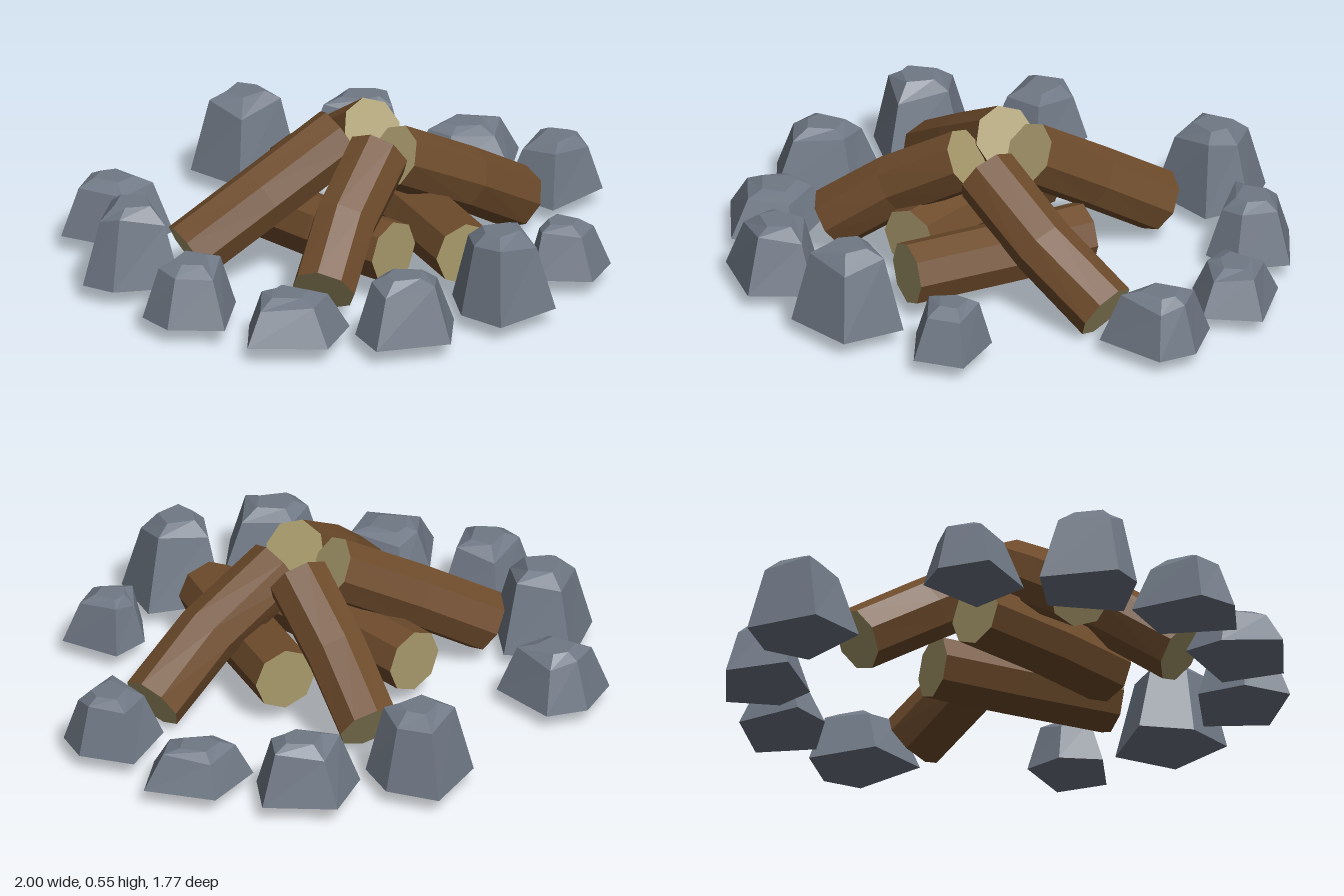
import * as THREE from 'three';

const mat = (name, color) => Object.assign(new THREE.MeshStandardMaterial({ color }), { name });
const V = (x, y, z) => new THREE.Vector3(x, y, z);

// Flat-faced geometry from triangles given as a list of points
function faceted(points) {
  const g = new THREE.BufferGeometry().setFromPoints(points);
  g.computeVertexNormals();
  return g;
}

// Skin between successive rings, each running anticlockwise about the loft direction
function loft(rings) {
  const pts = [];
  for (let i = 0; i < rings.length - 1; i++) {
    const lo = rings[i], hi = rings[i + 1], n = lo.length;
    for (let k = 0; k < n; k++) {
      const j = (k + 1) % n;
      pts.push(lo[k], lo[j], hi[j], lo[k], hi[j], hi[k]);
    }
  }
  return pts;
}

// Fan that closes a ring
function cap(ring) {
  const pts = [];
  for (let k = 1; k < ring.length - 1; k++) pts.push(ring[0], ring[k], ring[k + 1]);
  return pts;
}

// Bent octagonal log through its centre points, with pale cut ends
function makeLog(name, path, bark, cutWood) {
  const radius = 0.11, sides = 8, p = path.map(c => V(...c));
  const rings = p.map((c, i) => {
    const t = V(0, 0, 0);
    if (i > 0) t.add(c.clone().sub(p[i - 1]).normalize());
    if (i < p.length - 1) t.add(p[i + 1].clone().sub(c).normalize());
    t.normalize();
    const u = t.clone().cross(V(0, 1, 0)).normalize();
    const v = u.clone().cross(t);
    return Array.from({ length: sides }, (_, k) => {
      const a = k / sides * Math.PI * 2;
      return c.clone().addScaledVector(v, radius * Math.cos(a)).addScaledVector(u, radius * Math.sin(a));
    });
  });
  const log = new THREE.Group();
  log.name = name;
  const side = new THREE.Mesh(faceted(loft(rings)), bark);
  side.name = name + 'Bark';
  const ends = new THREE.Mesh(
    faceted([...cap([...rings[0]].reverse()), ...cap(rings[rings.length - 1])]), cutWood);
  ends.name = name + 'Ends';
  log.add(side, ends);
  return log;
}

// Five-sided boulder: base outline, shoulder ring and small top facet
function makeRock(index, top, height, cx, cz, outline, stone) {
  const base = 0.058, rise = height - base;
  const ring = (s, level) => outline.map(([x, z], k) =>
    V(cx + (x - cx) * s, base + rise * level(k), cz + (z - cz) * s)).reverse();
  const rings = [
    ring(1, () => 0),
    ring(0.66, k => 0.85 + 0.07 * Math.sin(k * 2.4 + index)),
    ring(0.36, () => top),
  ];
  const rock = new THREE.Mesh(
    faceted([...cap([...rings[0]].reverse()), ...loft(rings), ...cap(rings[2])]), stone);
  rock.name = 'rock' + (index + 1);
  return rock;
}

export function createModel() {
  const bark = mat('bark', 0x6f4c2c);
  const cutWood = mat('cutWood', 0xa89a6c);
  const stone = mat('stone', 0x707986);
  const model = new THREE.Group();
  model.name = 'campfire';

  // Leaning logs (upper end first), then the two lying flat
  const logs = {
    leaningLogBack: [[0.08, 0.45, 0], [0.17, 0.29, -0.24], [0.28, 0.13, -0.47]],
    leaningLogFrontLeft: [[0.01, 0.41, 0.145], [0.3, 0.255, 0.22], [0.57, 0.1, 0.24]],
    leaningLogFrontRight: [[-0.075, 0.44, 0.14], [-0.33, 0.29, 0.19], [-0.54, 0.13, 0.26]],
    leaningLogBackRight: [[-0.045, 0.455, -0.04], [-0.305, 0.29, -0.175], [-0.54, 0.13, -0.31]],
    lyingLogRight: [[-0.12, 0.165, -0.34], [-0.175, 0.165, 0], [-0.2, 0.165, 0.3]],
    lyingLogLeft: [[0.25, 0.165, -0.08], [0.11, 0.165, 0.19], [-0.065, 0.165, 0.505]],
  };
  for (const [name, path] of Object.entries(logs)) model.add(makeLog(name, path, bark, cutWood));

  // Ring of stones: height, centre of the top, base outline (x, z)
  const rocks = [
    [0.25, -0.38, -0.75, [[-0.55, -0.84], [-0.37, -0.89], [-0.25, -0.81], [-0.29, -0.56], [-0.51, -0.59]]],
    [0.33, 0.335, -0.725, [[0.18, -0.84], [0.43, -0.89], [0.49, -0.71], [0.415, -0.56], [0.16, -0.62]]],
    [0.265, 0.67, -0.48, [[0.48, -0.59], [0.69, -0.66], [0.84, -0.455], [0.71, -0.325], [0.565, -0.35]]],
    [0.195, 0.82, -0.17, [[0.67, -0.28], [0.9, -0.3], [1, -0.07], [0.82, 0.03], [0.665, -0.13]]],
    [0.25, 0.81, 0.245, [[0.645, 0.13], [0.88, 0.07], [0.95, 0.25], [0.885, 0.37], [0.625, 0.355]]],
    [0.23, 0.245, 0.67, [[0.2, 0.57], [0.34, 0.58], [0.37, 0.79], [0.2, 0.84], [0.09, 0.67]]],
    [0.34, -0.165, 0.72, [[-0.17, 0.525], [0.045, 0.68], [-0.06, 0.88], [-0.31, 0.835], [-0.3, 0.66]]],
    [0.27, -0.535, 0.595, [[-0.65, 0.475], [-0.48, 0.44], [-0.34, 0.66], [-0.525, 0.785], [-0.73, 0.625]]],
    [0.2, -0.76, 0.265, [[-0.8, 0.14], [-0.65, 0.14], [-0.6, 0.415], [-0.81, 0.48], [-0.97, 0.26]]],
    [0.255, -0.825, -0.09, [[-0.96, -0.19], [-0.7, -0.235], [-0.66, -0.02], [-0.89, 0.105], [-1, -0.055]]],
    [0.33, -0.69, -0.435, [[-0.855, -0.52], [-0.605, -0.63], [-0.49, -0.43], [-0.67, -0.24], [-0.845, -0.4]]],
  ];
  rocks.forEach(([h, cx, cz, outline], i) => model.add(makeRock(i, 1, h, cx, cz, outline, stone)));

  return model;
}
